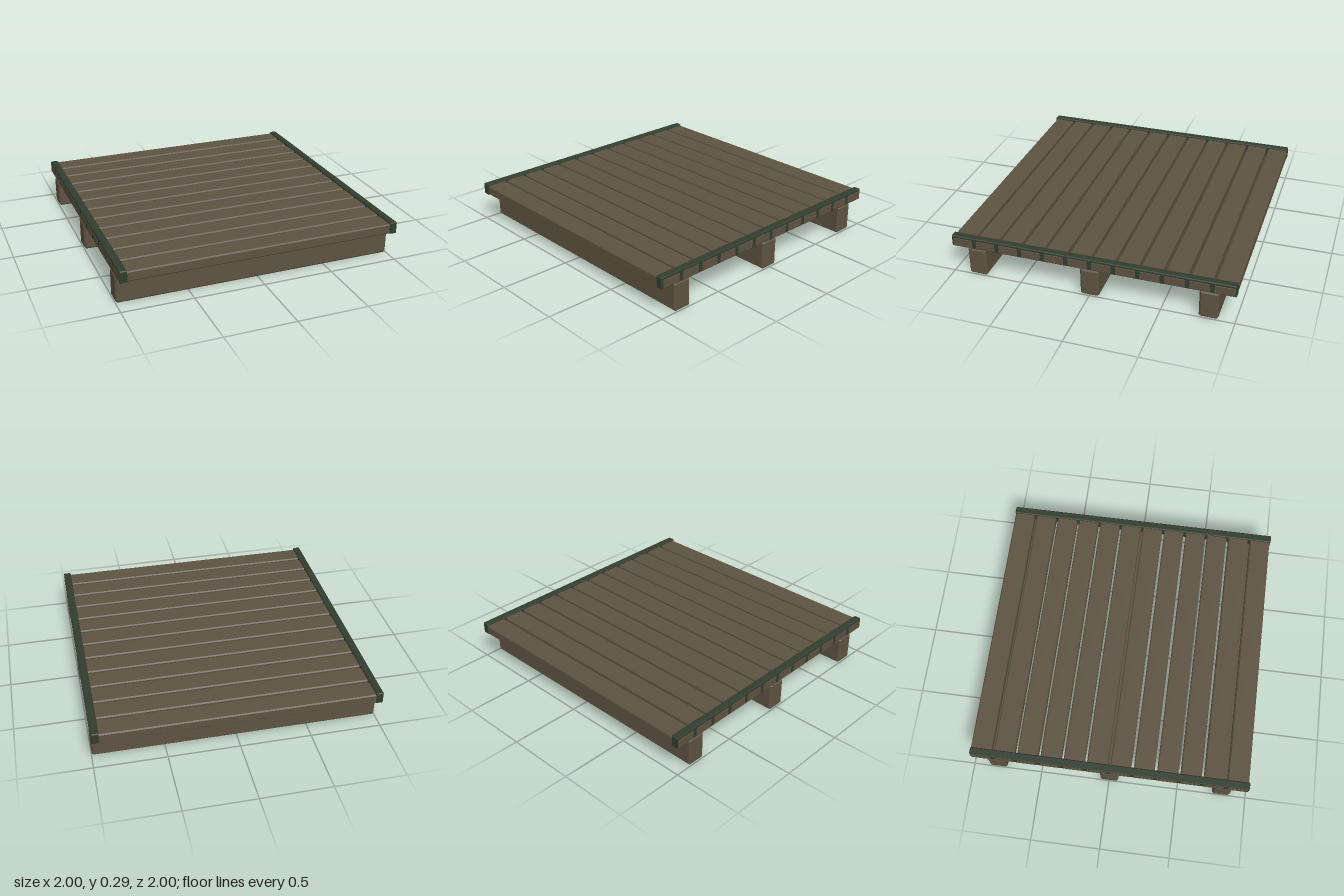
import * as THREE from 'three';
import { ConvexGeometry } from 'three/addons/geometries/ConvexGeometry.js';

// Box with every edge chamfered by c
function chamferBox(w, h, d, c) {
  const points = [];
  for (const sx of [-1, 1]) for (const sy of [-1, 1]) for (const sz of [-1, 1]) {
    const x = w / 2, y = h / 2, z = d / 2;
    points.push(
      new THREE.Vector3(sx * x, sy * (y - c), sz * (z - c)),
      new THREE.Vector3(sx * (x - c), sy * y, sz * (z - c)),
      new THREE.Vector3(sx * (x - c), sy * (y - c), sz * z));
  }
  return new ConvexGeometry(points);
}

export function createModel() {
  const group = new THREE.Group();
  const wood = new THREE.MeshStandardMaterial({ name: 'brown wood', color: 0x5e5342 });
  const green = new THREE.MeshStandardMaterial({ name: 'dark green trim', color: 0x323d2f });

  function add(name, geometry, material, x, y, z) {
    const mesh = new THREE.Mesh(geometry, material);
    mesh.name = name;
    mesh.position.set(x, y, z);
    group.add(mesh);
  }

  // Three support beams running side to side
  const beam = chamferBox(1.995, 0.205, 0.13, 0.012);
  [-0.82, 0, 0.82].forEach((z, i) => add('beam' + (i + 1), beam, wood, 0, 0.1025, z));

  // Twelve deck planks with narrow gaps, their ends flush with the trim
  const plank = chamferBox(2, 0.073, 0.15, 0.008);
  for (let i = 0; i < 12; i++) add('plank' + (i + 1), plank, wood, 0, 0.2415, -0.922 + i * 0.1672);

  // Trim rails along the left and right edges
  const rail = chamferBox(0.053, 0.085, 2, 0.006);
  add('leftRail', rail, green, 0.9715, 0.2475, 0);
  add('rightRail', rail, green, -0.9715, 0.2475, 0);

  return group;
}
